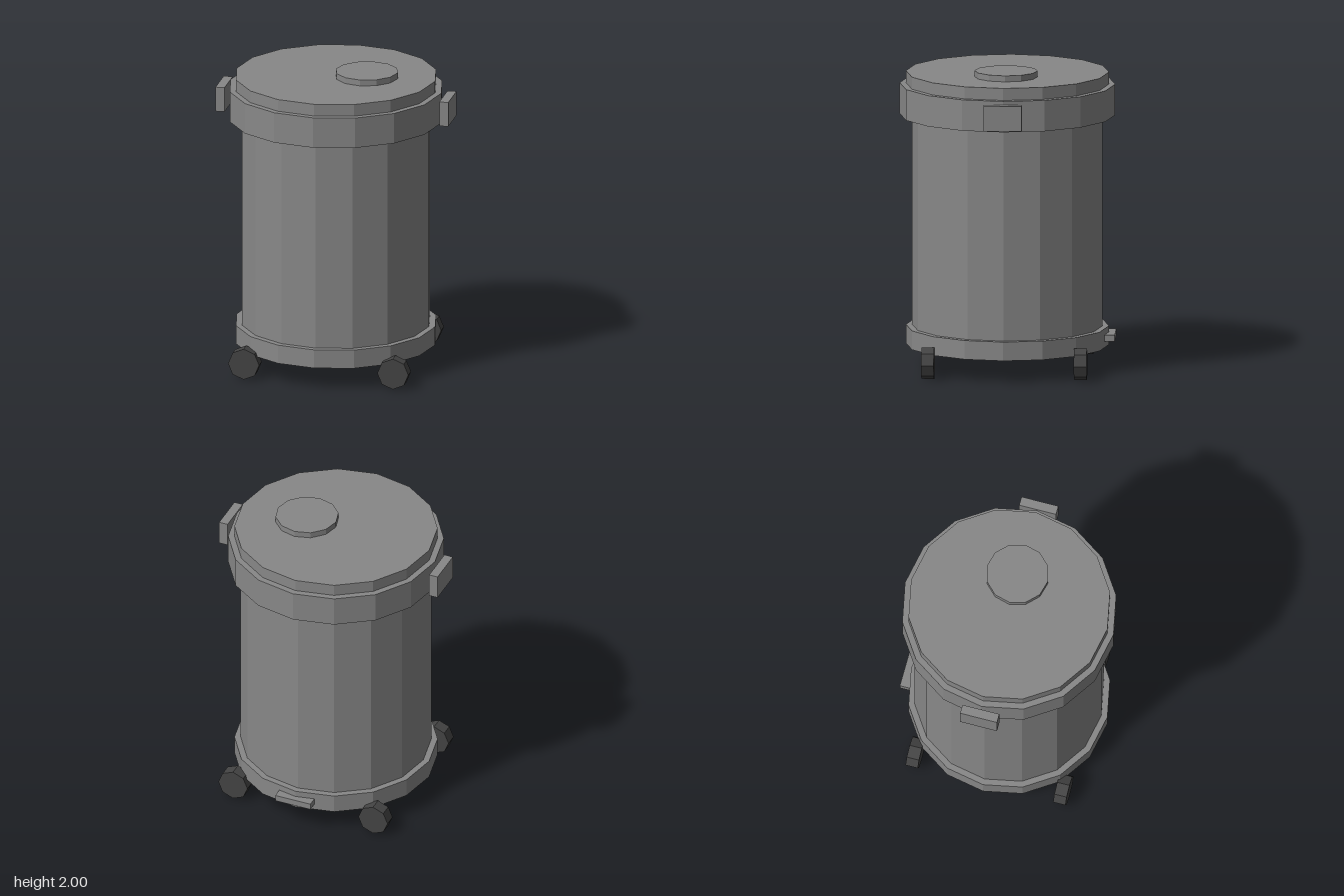
import * as THREE from 'three';

export function createModel() {
  const model = new THREE.Group();
  model.name = 'wheeledDrum';

  const metal = new THREE.MeshStandardMaterial({ color: 0x888888, flatShading: true });
  metal.name = 'grey metal';
  const rubber = new THREE.MeshStandardMaterial({ color: 0x444444, flatShading: true });
  rubber.name = 'dark rubber';

  const add = (name, geometry, material, x, y, z) => {
    const mesh = new THREE.Mesh(geometry, material);
    mesh.name = name;
    mesh.position.set(x, y, z);
    model.add(mesh);
    return mesh;
  };

  // Upright faceted disc from y0 to y1
  const disc = (name, radius, y0, y1, sides = 16, x = 0) =>
    add(name, new THREE.CylinderGeometry(radius, radius, y1 - y0, sides), metal, x, (y0 + y1) / 2, 0);

  // Drum, bands and lid
  disc('base', 0.665, 0.15, 0.275);
  disc('body', 0.624, 0.2, 1.75);
  disc('rim', 0.706, 1.675, 1.88);
  disc('lid', 0.665, 1.85, 1.96);
  disc('lidCap', 0.207, 1.95, 2.0, 12, 0.207);

  // Side handles
  for (const side of [-1, 1]) {
    add(side > 0 ? 'leftHandle' : 'rightHandle',
      new THREE.BoxGeometry(0.06, 0.165, 0.25), metal, side * 0.75, 1.777, 0);
  }

  // Foot tab at the back
  add('backTab', new THREE.BoxGeometry(0.25, 0.042, 0.07), metal, 0, 0.213, -0.673);

  // Four octagonal wheels
  const wheel = new THREE.CylinderGeometry(0.104, 0.104, 0.083, 8).rotateX(Math.PI / 2);
  for (const x of [-0.5, 0.5]) {
    for (const z of [-0.5, 0.5]) {
      add(`${z > 0 ? 'front' : 'back'}${x > 0 ? 'Left' : 'Right'}Wheel`, wheel, rubber, x, 0.104, z);
    }
  }

  return model;
}
